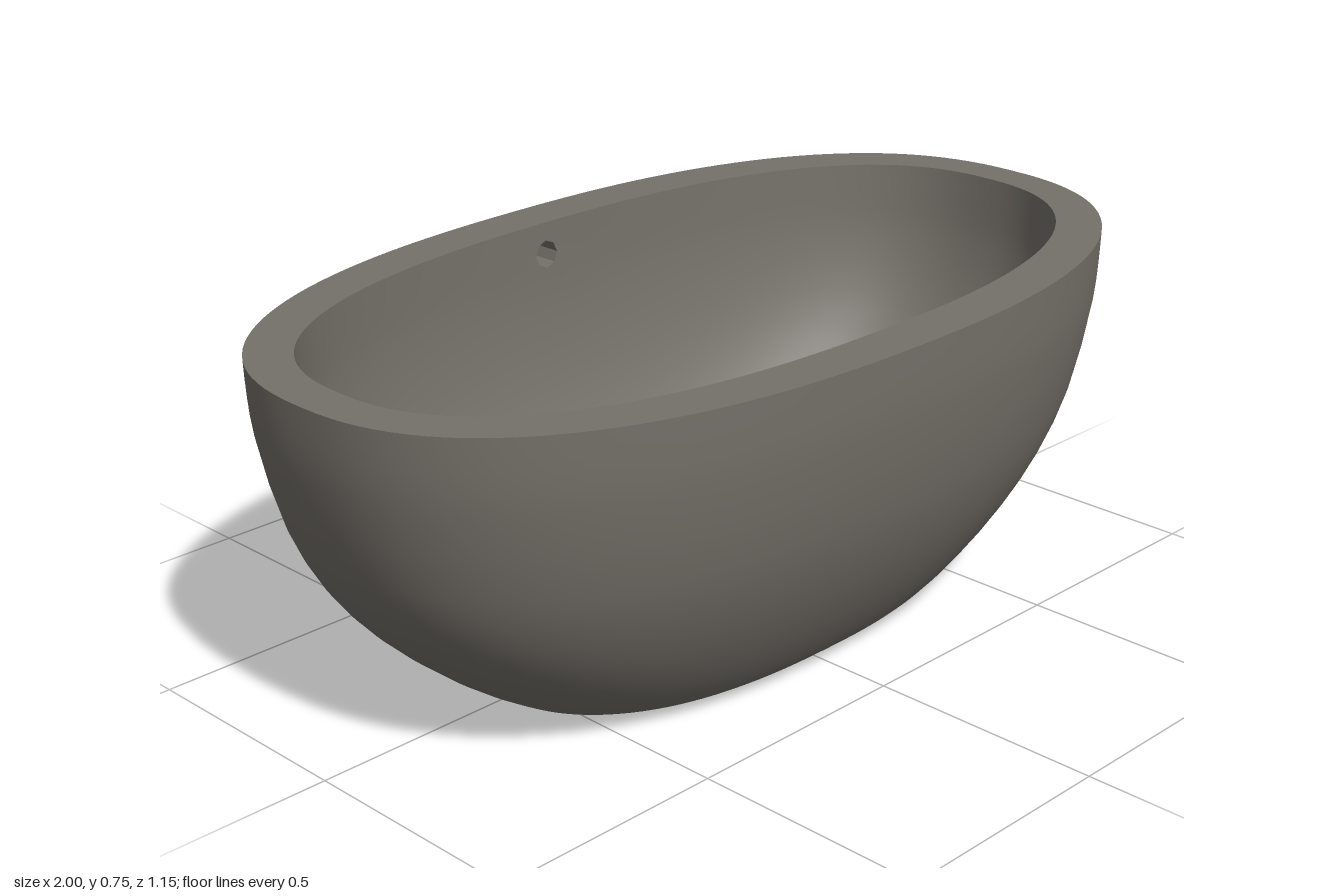
import * as THREE from 'three';
import { toCreasedNormals } from 'three/addons/utils/BufferGeometryUtils.js';

const SEG = 128;                 // steps around the tub
const BACK = SEG * 3 / 4;        // step that faces straight back
const HOLE_Y = 0.675, HOLE_R = 0.03;

// Smooth profile of [half length, height, half width], two steps per given point
function profile(points) {
  const curve = new THREE.CatmullRomCurve3(points.map(p => new THREE.Vector3(...p)));
  return curve.getPoints((points.length - 1) * 2);
}

// One closed oval loop: round at the drain, squarest near the base
function oval({ x: rx, y, z: rz }) {
  const power = 2 / (2 + Math.min(1, 3 * rx) * (0.6 - 0.24 * rx));
  const bend = v => Math.abs(v) < 1e-9 ? 0 : Math.sign(v) * Math.abs(v) ** power;
  return Array.from({ length: SEG }, (_, j) => {
    const t = j / SEG * Math.PI * 2;
    return new THREE.Vector3(rx * bend(Math.cos(t)), y, rz * bend(Math.sin(t)));
  });
}

// Skin over closed loops of points; skip(i, j) leaves a cell open
function loft(rows, skip = () => false) {
  const n = rows[0].length, index = [];
  for (let i = 0; i < rows.length - 1; i++) {
    for (let j = 0; j < n; j++) {
      if (skip(i, j)) continue;
      const k = (j + 1) % n, a = i * n + j, b = i * n + k, c = a + n, d = b + n;
      index.push(a, b, c, b, d, c);
    }
  }
  const geometry = new THREE.BufferGeometry().setFromPoints(rows.flat());
  geometry.setIndex(index);
  return toCreasedNormals(geometry, 0.7);
}

// Pull the eight points around a back wall point onto a circle and return that ring
function roundHole(rows, row) {
  const ring = [];
  for (let di = -1; di <= 1; di++) {
    for (let dj = -1; dj <= 1; dj++) {
      if (!di && !dj) continue;
      const p = rows[row + di][BACK + dj];
      const up = Math.sign(rows[row + di][BACK].y - HOLE_Y) * Math.abs(di);
      const angle = Math.atan2(up, dj);
      p.x = HOLE_R * Math.cos(angle);
      p.y = HOLE_Y + HOLE_R * Math.sin(angle);
      ring[(Math.round(angle / (Math.PI / 4)) + 8) % 8] = p;
    }
  }
  return ring;
}

const holeCells = row => (i, j) =>
  (i === row || i === row - 1) && (j === BACK || j === BACK - 1);

export function createModel() {
  const tub = new THREE.Group();
  tub.name = 'bathtub';
  const stone = new THREE.MeshStandardMaterial({ color: 0x75716a });
  stone.name = 'dark stone';
  const add = (name, geometry) => {
    const mesh = new THREE.Mesh(geometry, stone);
    mesh.name = name;
    tub.add(mesh);
  };

  // Outer wall from rim to base edge, then under the base to the drain
  const outer = profile([
    [1, 0.745, 0.575], [0.997, HOLE_Y, 0.573], [0.988, 0.595, 0.568],
    [0.94, 0.41, 0.538], [0.88, 0.29, 0.5], [0.8, 0.19, 0.455],
    [0.7, 0.1, 0.403], [0.61, 0.038, 0.358], [0.57, 0.016, 0.332],
    [0.52, 0.008, 0.3], [0.3, 0.003, 0.18], [0.05, 0, 0.05],
  ]).map(oval);

  // Basin from the drain over the gently dished floor and up to the rim
  const inner = profile([
    [0.035, 0.065, 0.035], [0.055, 0.08, 0.055], [0.085, 0.095, 0.08],
    [0.3, 0.108, 0.175], [0.48, 0.135, 0.262], [0.59, 0.182, 0.32],
    [0.695, 0.255, 0.37], [0.792, 0.355, 0.415], [0.858, 0.465, 0.445],
    [0.897, 0.595, 0.464], [0.906, HOLE_Y, 0.468], [0.912, 0.745, 0.47],
  ]).map(oval);

  const rim = [inner.at(-1), outer[0]].map(row => row.map(p => p.clone()));
  const drain = [outer.at(-1), inner[0]];

  // Overflow hole through the back wall
  const outerRow = 2, innerRow = inner.length - 3;
  const overflow = [roundHole(inner, innerRow), roundHole(outer, outerRow)];

  add('outerShell', loft(outer, holeCells(outerRow)));
  add('basin', loft(inner, holeCells(innerRow)));
  add('rim', loft(rim));
  add('drainBore', loft(drain));
  add('overflowBore', loft(overflow));
  return tub;
}
